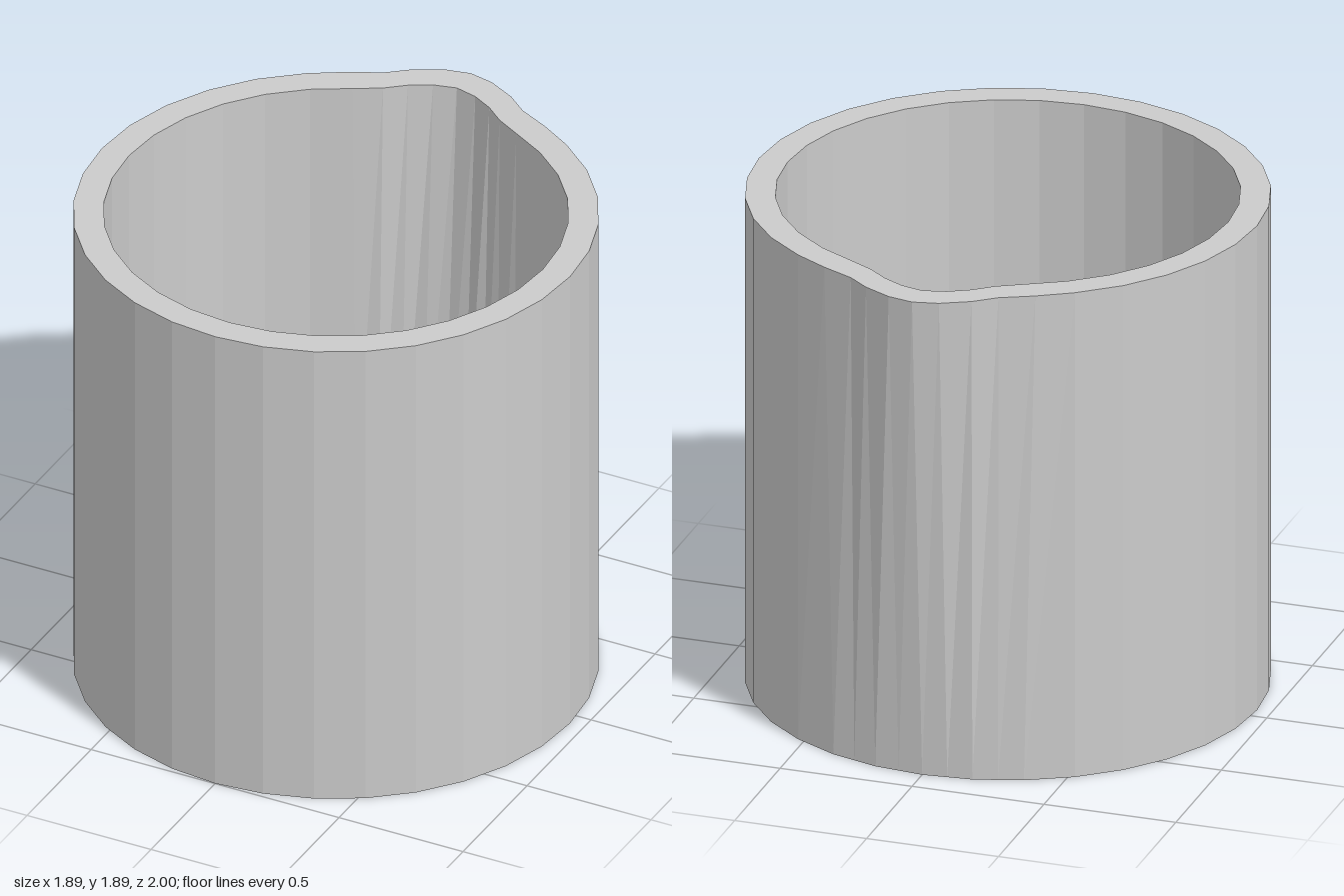
import * as THREE from 'three';

const SIDES = 32, HEIGHT = 1.89, FLOOR = 0.11, CENTER_Z = 0.055;
const OUTER_R = 0.944, INNER_R = 0.835;

// Right half of the pouring lip at the rim, from its tip outwards: [x, z]
const OUTER_LIP = [[0, -1], [0.095, -0.98], [0.2, -0.926], [0.28, -0.862], [0.4, -0.804]];
const INNER_LIP = [[0, -0.889], [0.085, -0.868], [0.164, -0.825], [0.235, -0.767], [0.33, -0.714]];

// Closed ring starting at the back; the lip zone has half steps lying on the chords
function ring(radius, y, lip) {
  const corner = (k) => {
    const a = (k / SIDES) * Math.PI * 2;
    return new THREE.Vector3(Math.sin(a) * radius, y, CENTER_Z - Math.cos(a) * radius);
  };
  const half = [];
  for (let k = 0; k <= SIDES / 2; k++) {
    half.push(corner(k));
    if (k < 2) half.push(corner(k).lerp(corner(k + 1), 0.5));
  }
  if (lip) lip.forEach(([x, z], i) => half[i].set(x, y, z));
  const mirrored = half.slice(1, -1).reverse().map((p) => new THREE.Vector3(-p.x, p.y, p.z));
  return [...half, ...mirrored];
}

// Ring collapsed to one point, closing a disc
const centre = (like, y) => like.map(() => new THREE.Vector3(0, y, CENTER_Z));

// Strip of faces joining two rings
function strip(name, from, to, material) {
  const points = [];
  from.forEach((a, i) => {
    const j = (i + 1) % from.length;
    const b = from[j], c = to[i], d = to[j];
    if (!a.equals(b)) points.push(a, c, b);
    if (!c.equals(d)) points.push(b, c, d);
  });
  const geometry = new THREE.BufferGeometry().setFromPoints(points);
  geometry.computeVertexNormals();
  const mesh = new THREE.Mesh(geometry, material);
  mesh.name = name;
  return mesh;
}

export function createModel() {
  const group = new THREE.Group();
  group.name = 'beaker';
  const material = new THREE.MeshStandardMaterial({ color: 0xcccccc, flatShading: true });

  const outerBottom = ring(OUTER_R, 0);
  const outerTop = ring(OUTER_R, HEIGHT, OUTER_LIP);
  const innerTop = ring(INNER_R, HEIGHT, INNER_LIP);
  const innerBottom = ring(INNER_R, FLOOR);

  group.add(
    strip('base', centre(outerBottom, 0), outerBottom, material),
    strip('outerWall', outerBottom, outerTop, material),
    strip('rim', outerTop, innerTop, material),
    strip('innerWall', innerTop, innerBottom, material),
    strip('floor', innerBottom, centre(innerBottom, FLOOR), material),
  );
  return group;
}
